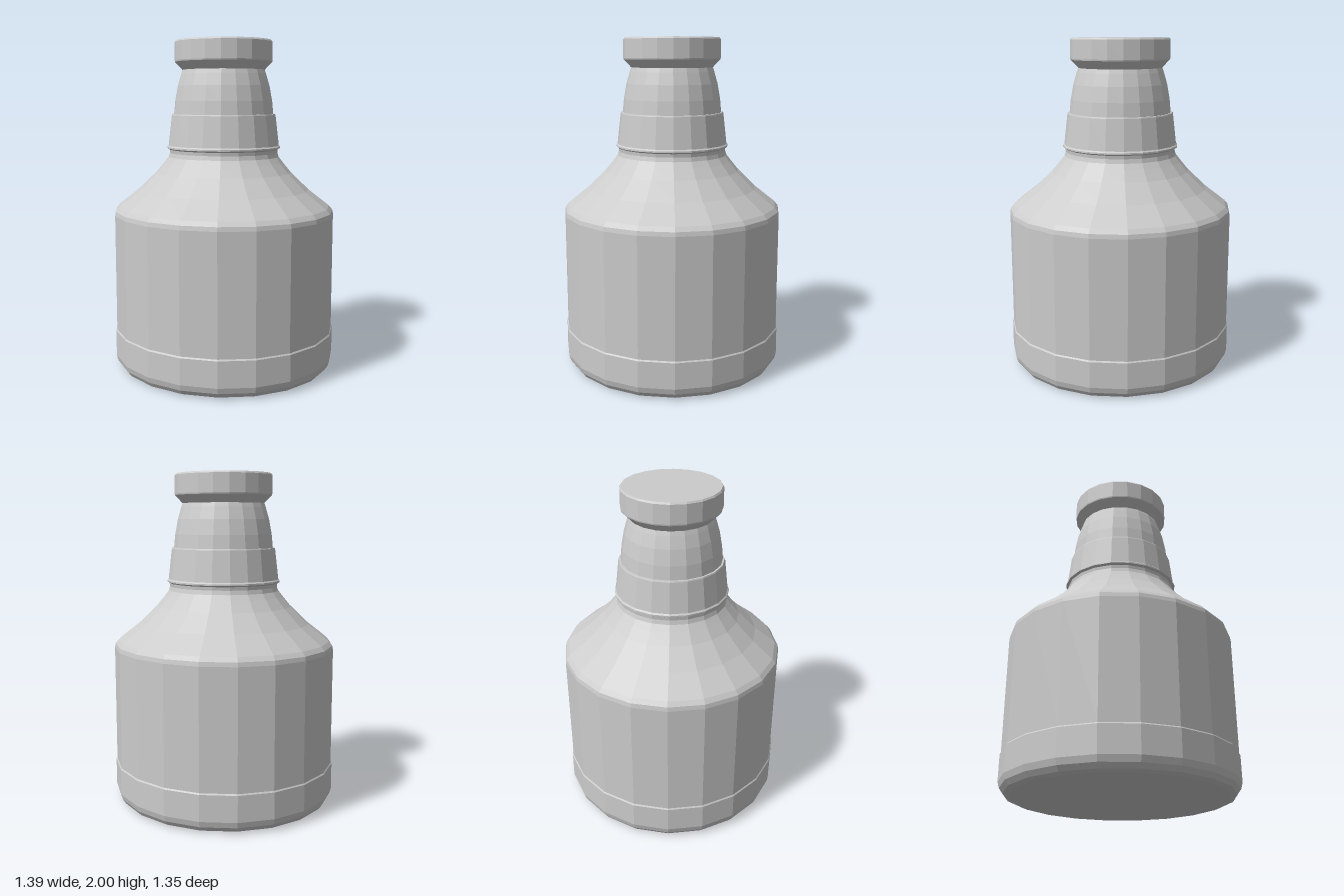
import * as THREE from 'three';

const SIDES = 20;
const DEPTH = 0.972; // slightly narrower front to back

export function createModel() {
  const group = new THREE.Group();
  const material = new THREE.MeshStandardMaterial({ color: 0xcccccc, flatShading: true });

  // Each part is a faceted turning of [radius, height] pairs, bottom to top
  function turned(name, profile) {
    const points = profile.map(([r, y]) => new THREE.Vector2(r, y));
    const geometry = new THREE.LatheGeometry(points, SIDES);
    geometry.scale(1, 1, DEPTH);
    const mesh = new THREE.Mesh(geometry, material);
    mesh.name = name;
    group.add(mesh);
  }

  // Flat bottom, rounded heel and slightly proud lower band
  turned('base', [
    [0, 0], [0.635, 0], [0.665, 0.012], [0.685, 0.04], [0.695, 0.075],
    [0.694, 0.232], [0.688, 0.24],
  ]);

  // Straight wall and concave sloping shoulder
  turned('body', [
    [0.688, 0.24], [0.686, 0.95], [0.681, 0.975], [0.66, 1.0],
    [0.53, 1.1], [0.42, 1.205], [0.37, 1.265], [0.343, 1.3],
  ]);

  // Lip ring and tapered band around the neck
  turned('neckBand', [
    [0.343, 1.3], [0.336, 1.325], [0.338, 1.345], [0.352, 1.353],
    [0.352, 1.362], [0.344, 1.37], [0.322, 1.553], [0.319, 1.56], [0.308, 1.56],
  ]);

  // Neck curving in towards the mouth
  turned('neck', [
    [0.308, 1.56], [0.3, 1.64], [0.283, 1.73], [0.262, 1.8], [0.253, 1.825],
  ]);

  // Closed cap with a bevelled underside
  turned('cap', [
    [0.253, 1.825], [0.299, 1.872], [0.301, 1.88], [0.3, 1.99], [0.293, 2], [0, 2],
  ]);

  return group;
}
